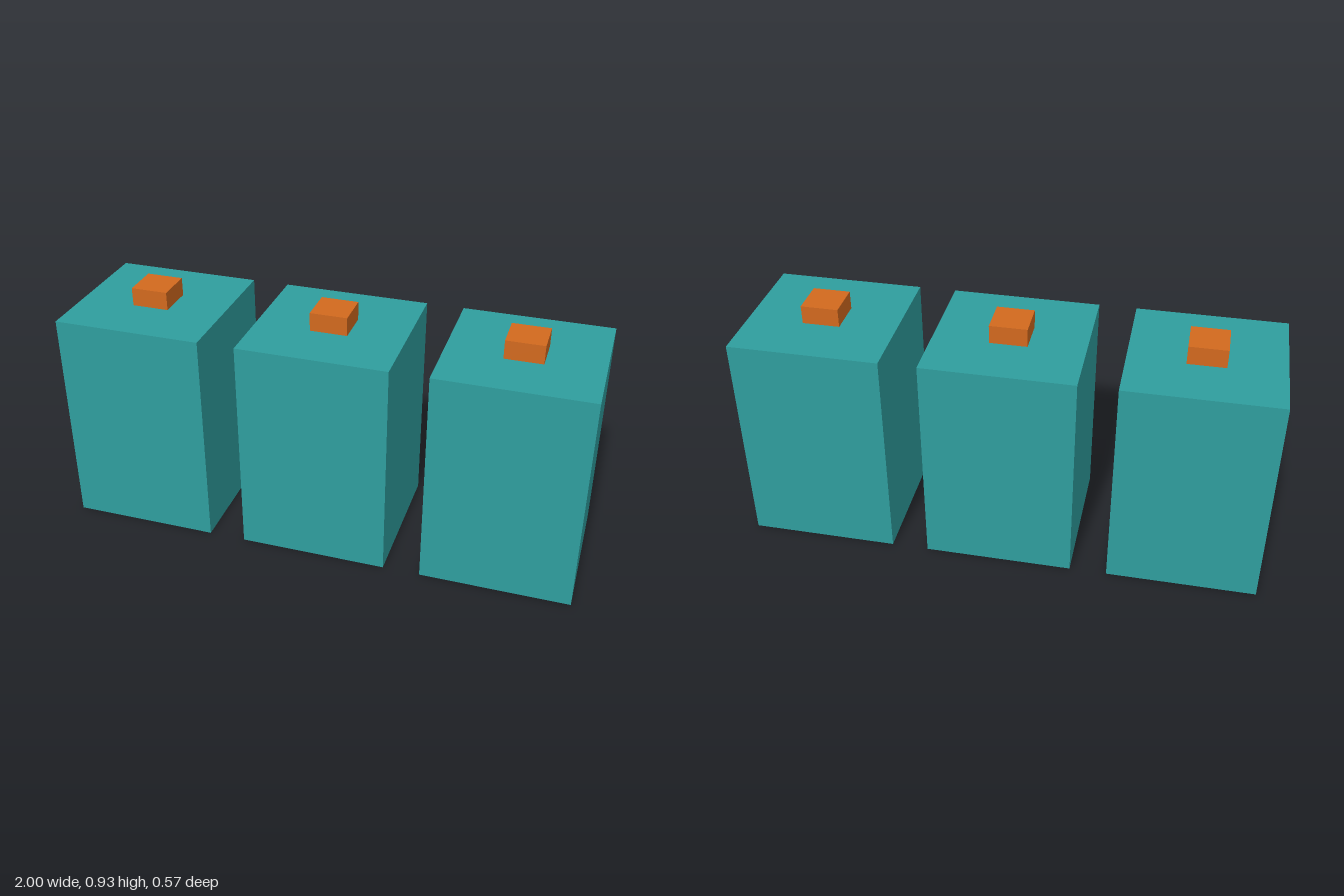
import * as THREE from 'three';

const UNIT = 1 / 7; // three bodies 4 wide with gaps of 1 span 14 units = 2

export function createModel() {
  const model = new THREE.Group();
  model.name = 'canisterRow';

  const bodyMaterial = new THREE.MeshStandardMaterial({ color: 0x2f9e9e });
  const knobMaterial = new THREE.MeshStandardMaterial({ color: 0xd2691e });
  const bodyGeometry = new THREE.BoxGeometry(4 * UNIT, 6 * UNIT, 4 * UNIT);
  const knobGeometry = new THREE.BoxGeometry(UNIT, 0.5 * UNIT, UNIT);

  ['right', 'middle', 'left'].forEach((side, i) => {
    const canister = new THREE.Group();
    canister.name = `${side}Canister`;
    canister.position.x = (i - 1) * 5 * UNIT;

    // Tall square body standing on the ground
    const body = new THREE.Mesh(bodyGeometry, bodyMaterial);
    body.name = `${side}Body`;
    body.position.y = 3 * UNIT;

    // Small square knob centred on the top
    const knob = new THREE.Mesh(knobGeometry, knobMaterial);
    knob.name = `${side}Knob`;
    knob.position.y = 6.25 * UNIT;

    canister.add(body, knob);
    model.add(canister);
  });

  return model;
}
